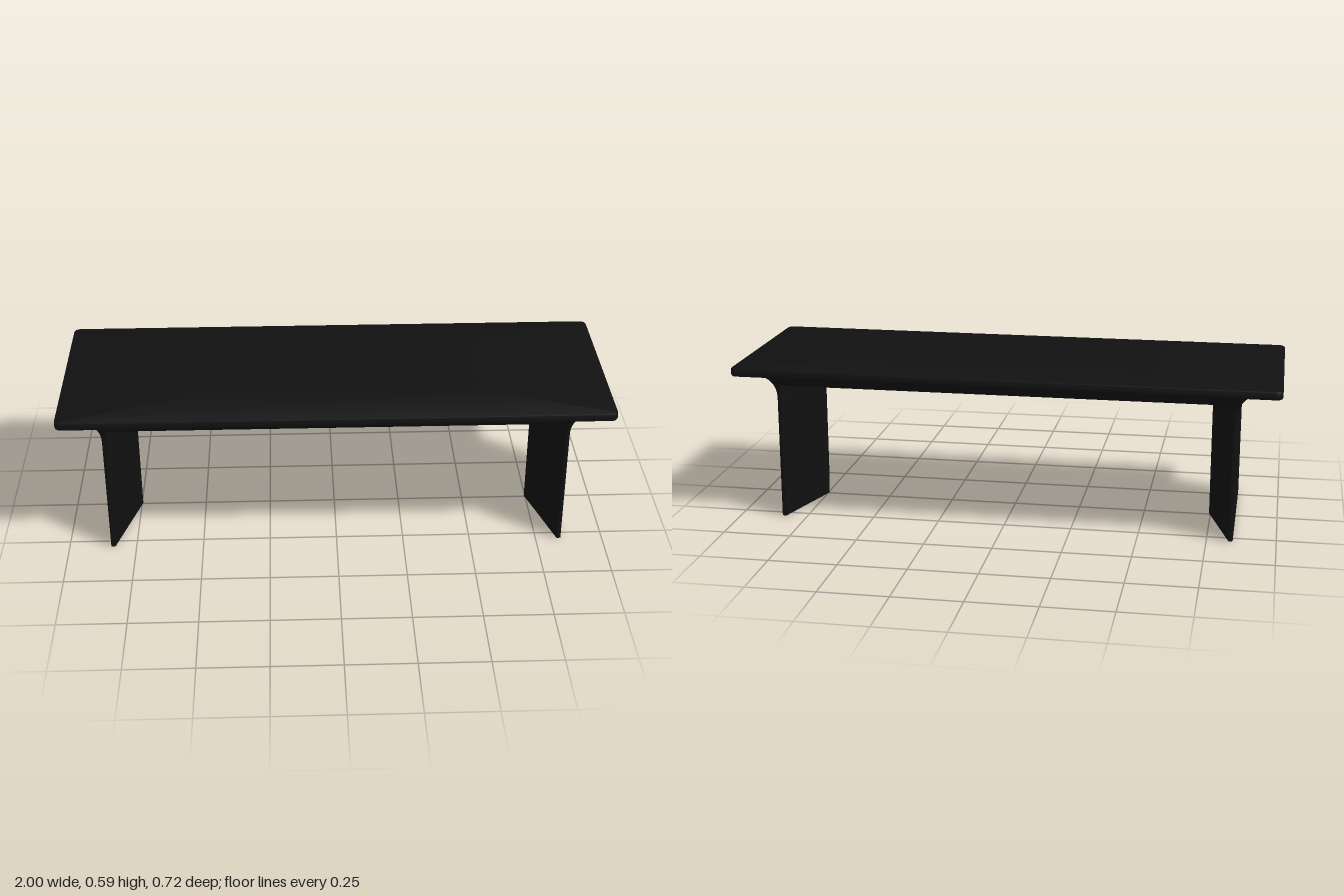
import * as THREE from 'three';
import { toCreasedNormals } from 'three/addons/utils/BufferGeometryUtils.js';

const material = new THREE.MeshStandardMaterial({ color: 0x111111 });
const UNDERSIDE = 0.512, FLARE_START = 0.46, FLARE_TOP = 0.556, FLARE = 0.065;
const LEG_X = 0.845, LEG_Z = 0.29;

// Joins stacked rings of points with walls and closes both ends with fans
function loft(name, rings, topCentreY) {
  const n = rings[0].length, pos = rings.flat(2), index = [];
  const centre = (ring, y) => {
    const c = [0, 1, 2].map(k => ring.reduce((s, p) => s + p[k], 0) / n);
    if (y !== undefined) c[1] = y;
    pos.push(...c);
    return pos.length / 3 - 1;
  };
  const bottom = centre(rings[0]);
  const top = centre(rings[rings.length - 1], topCentreY);
  const last = (rings.length - 1) * n;
  for (let i = 0; i < n; i++) {
    const j = (i + 1) % n;
    for (let a = 0; a < last; a += n) index.push(a + i, a + j, a + n + j, a + i, a + n + j, a + n + i);
    index.push(bottom, j, i, top, last + i, last + j);
  }
  const geometry = new THREE.BufferGeometry();
  geometry.setAttribute('position', new THREE.Float32BufferAttribute(pos, 3));
  geometry.setIndex(index);
  const mesh = new THREE.Mesh(toCreasedNormals(geometry, 0.6), material);
  mesh.name = name;
  return mesh;
}

// Quarter-round corner; quadrant 0 is +x -z, 3 is +x +z
function corner(x, z, r, quadrant, y) {
  const sx = quadrant === 0 || quadrant === 3 ? 1 : -1, sz = quadrant < 2 ? -1 : 1;
  return Array.from({ length: 6 }, (_, i) => {
    const a = (quadrant + i / 5) * Math.PI / 2;
    return [sx * (x - r) + r * Math.cos(a), y, sz * (z - r) - r * Math.sin(a)];
  });
}

const roundedRect = (x, z, r, y) => [0, 1, 2, 3].flatMap(q => corner(x, z, r, q, y));

// Outward sweep of the fillet under the top
function flare(y) {
  const t = Math.min(1, Math.max(0, (y - FLARE_START) / (FLARE_TOP - FLARE_START)));
  return FLARE * (1 - Math.sqrt(1 - t * t));
}

// Leg plan: flat outer face, thin front and back edges, ridge on the inside
function legRing(y, inset = 0) {
  const o = flare(y) - inset, x = LEG_X + o, z = LEG_Z + o;
  return [
    [0.745 + inset, y, 0], [0.83, y, z],
    ...corner(x, z, 0.006, 3, y), ...corner(x, z, 0.006, 0, y),
    [0.83, y, -z],
  ];
}

export function createModel() {
  const group = new THREE.Group();
  group.name = 'desk';

  // Thin top with softened edges and a slight crown
  group.add(loft('tableTop', [
    roundedRect(0.994, 0.354, 0.018, 0.553),
    roundedRect(0.998, 0.358, 0.022, 0.555),
    roundedRect(1, 0.36, 0.024, 0.56),
    roundedRect(1, 0.36, 0.024, 0.579),
    roundedRect(0.998, 0.358, 0.022, 0.583),
    roundedRect(0.994, 0.354, 0.018, 0.585),
    roundedRect(0.5, 0.18, 0.009, 0.588),
  ], 0.589));

  // Flat-bottomed core that sweeps out to meet the top
  const steps = 10;
  group.add(loft('flaredApron', Array.from({ length: steps + 1 }, (_, i) => {
    const y = UNDERSIDE + (FLARE_TOP - UNDERSIDE) * Math.sin(i / steps * Math.PI / 2);
    return roundedRect(LEG_X + flare(y), LEG_Z + flare(y), 0.006, y);
  })));

  // Two ridged panel legs, half a turn apart
  ['leftLeg', 'rightLeg'].forEach((name, i) => {
    const rings = [legRing(0, 0.003), legRing(0.003)];
    for (let k = 0; k <= 6; k++) rings.push(legRing(FLARE_START + (UNDERSIDE - FLARE_START) * k / 6));
    const leg = loft(name, rings);
    leg.rotation.y = i * Math.PI;
    group.add(leg);
  });

  return group;
}
